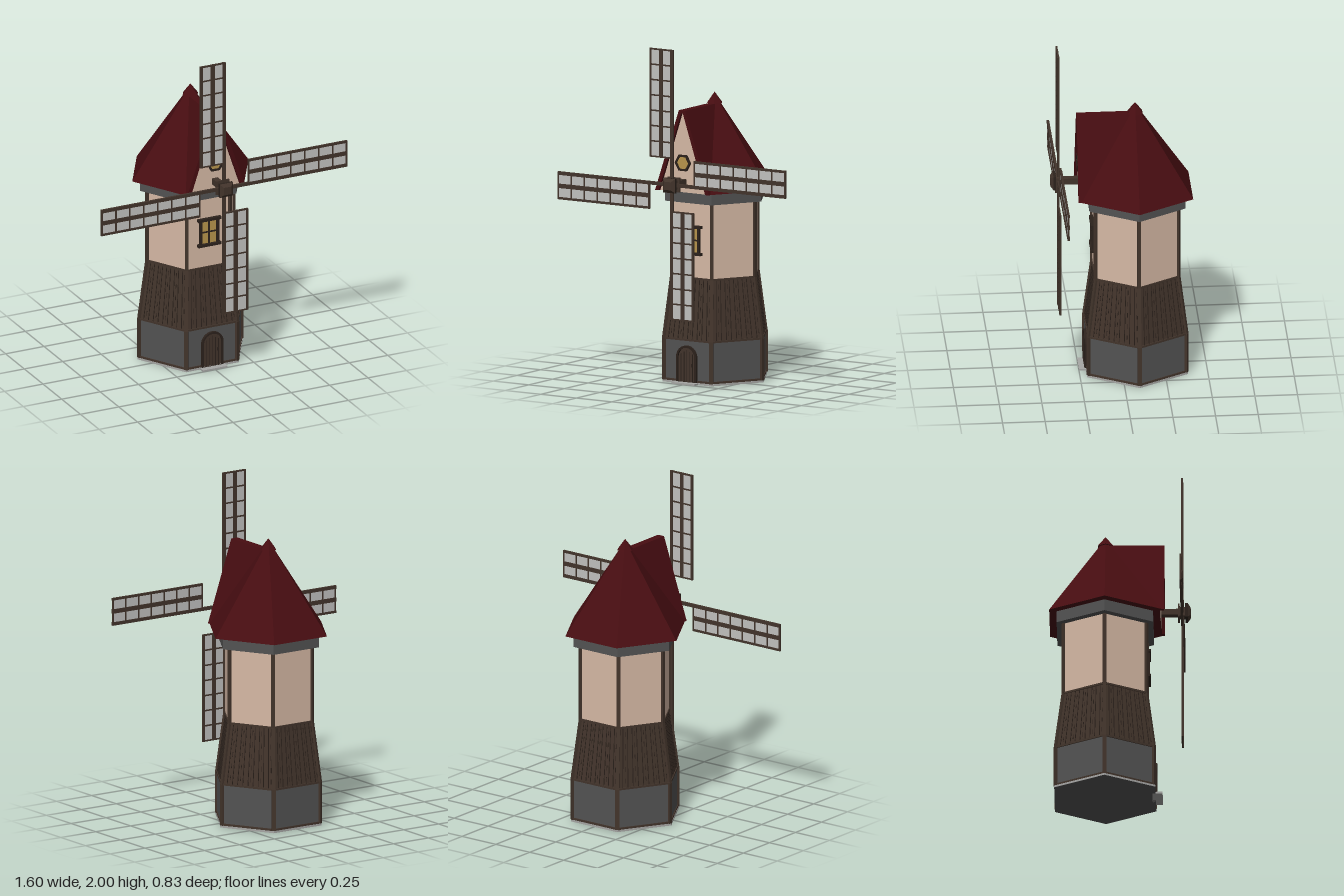
import * as THREE from 'three';

const mat = (name, color) => Object.assign(new THREE.MeshStandardMaterial({ color, flatShading: true }), { name });
const V = (x, y, z) => new THREE.Vector3(x, y, z);
const APO = Math.cos(Math.PI / 6); // hexagon apothem / radius

export function createModel() {
  const M = {
    stone: mat('grey stone', 0x535353),
    pale: mat('pale stone', 0xa6a6a4),
    plaster: mat('cream plaster', 0xd6b9a5),
    wood: mat('brown wood', 0x42342b),
    dark: mat('dark wood', 0x2c221c),
    red: mat('dark red roof', 0x470d11),
    cloth: mat('sail cloth', 0xc2c2c0),
    gold: mat('amber glass', 0xb8954c),
  };
  const model = new THREE.Group();
  model.name = 'windmill';

  const add = (parent, name, geo, material, x = 0, y = 0, z = 0) => {
    const m = new THREE.Mesh(geo, material);
    m.name = name;
    m.position.set(x, y, z);
    parent.add(m);
    return m;
  };
  const group = (parent, name, x = 0, y = 0, z = 0) => {
    const g = new THREE.Group();
    g.name = name;
    g.position.set(x, y, z);
    parent.add(g);
    return g;
  };
  const box = (parent, name, w, h, d, material, x, y, z) =>
    add(parent, name, new THREE.BoxGeometry(w, h, d), material, x, y, z);
  // Square bar running from point a to point b
  const beam = (parent, name, a, b, w, d, material) => {
    const dir = b.clone().sub(a);
    const mid = a.clone().add(b).multiplyScalar(0.5);
    const m = box(parent, name, w, dir.length(), d, material, mid.x, mid.y, mid.z);
    m.quaternion.setFromUnitVectors(V(0, 1, 0), dir.normalize());
    return m;
  };
  // Hexagonal frustum with a flat side toward +z
  const hex = (parent, name, r0, r1, y0, y1, material) =>
    add(parent, name, new THREE.CylinderGeometry(r1, r0, y1 - y0, 6, 1, false, Math.PI / 6), material, 0, (y0 + y1) / 2, 0);
  const extrude = (shape, depth) =>
    new THREE.ExtrudeGeometry(shape, { depth, bevelEnabled: false, curveSegments: 10 });
  const poly = (pts) => new THREE.Shape(pts.map(([x, y]) => new THREE.Vector2(x, y)));

  // ---- Tower body ----
  const tower = group(model, 'tower', 0, 0, -0.087);
  hex(tower, 'foundationPlate', 0.342, 0.342, 0, 0.012, [M.pale, M.pale, M.stone]);
  hex(tower, 'stoneBase', 0.333, 0.333, 0.012, 0.26, M.stone);
  hex(tower, 'boardedSkirt', 0.333, 0.281, 0.26, 0.62, M.wood);
  hex(tower, 'plasterWalls', 0.281, 0.281, 0.62, 1.08, M.plaster);
  hex(tower, 'stoneCollar', 0.326, 0.326, 1.07, 1.14, M.stone);

  // Framing repeated on all six sides
  const R = 0.333, r = 0.281;
  for (let k = 0; k < 6; k++) {
    const side = group(tower, 'wallSide');
    side.rotation.y = (k * Math.PI) / 3;
    const corner = group(tower, 'cornerPost');
    corner.rotation.y = ((k + 0.5) * Math.PI) / 3;
    beam(corner, 'lowerPost', V(0, 0.012, R), V(0, 0.26, R), 0.024, 0.014, M.wood);
    beam(corner, 'skirtPost', V(0, 0.26, R), V(0, 0.62, r), 0.02, 0.014, M.wood);
    beam(corner, 'upperPost', V(0, 0.62, r), V(0, 1.07, r), 0.022, 0.014, M.wood);
    for (const [y, rad] of [[0.018, R], [0.26, R], [0.62, r]])
      box(side, 'rail', rad, 0.012, 0.012, M.wood, 0, y, rad * APO);
    // Gaps between the skirt boards, with short offset nail strips
    const n = 10;
    for (let i = 1; i < n; i++) {
      const t = i / n - 0.5;
      beam(side, 'boardGap', V(t * R, 0.265, R * APO), V(t * r, 0.615, r * APO), 0.004, 0.005, M.dark);
      if (i % 2) for (let j = 0; j < 5; j++) {
        const at = (u) => V((t + 0.05) * (R + (r - R) * u), 0.26 + 0.36 * u, (R + (r - R) * u) * APO);
        const u = 0.08 + j * 0.19;
        beam(side, 'nailStrip', at(u), at(u + 0.08), 0.003, 0.004, M.dark);
      }
    }
  }

  // ---- Arched door and step ----
  const arch = (w, h) => {
    const s = new THREE.Shape();
    s.moveTo(-w, 0);
    s.lineTo(w, 0);
    s.lineTo(w, h - w);
    s.absarc(0, h - w, w, 0, Math.PI, false);
    s.closePath();
    return s;
  };
  const door = group(model, 'door', 0, 0.012, R * APO - 0.087);
  const frame = arch(0.07, 0.215);
  frame.holes.push(arch(0.058, 0.203));
  add(door, 'doorFrame', extrude(frame, 0.016), M.dark);
  add(door, 'doorLeaf', extrude(arch(0.06, 0.205), 0.006), M.wood);
  for (let i = -2; i <= 2; i++)
    box(door, 'doorGap', 0.004, 0.19 - Math.abs(i) * 0.012, 0.003, M.dark, i * 0.02, 0.095 - Math.abs(i) * 0.006, 0.007);
  box(door, 'doorHandle', 0.007, 0.02, 0.006, M.dark, 0.035, 0.1, 0.009);
  box(model, 'doorStep', 0.16, 0.01, 0.06, M.pale, 0, 0.005, 0.22);

  // ---- Front window ----
  const win = group(model, 'frontWindow', 0, 0.847, r * APO - 0.087);
  box(win, 'windowGlass', 0.11, 0.155, 0.006, M.gold, 0, 0, 0.003);
  for (const s of [-1, 1]) {
    box(win, 'windowJamb', 0.014, 0.16, 0.018, M.dark, s * 0.055, 0, 0.009);
    box(win, 'windowSill', 0.15, 0.016, 0.024, M.dark, 0, s * 0.08, 0.012);
  }
  box(win, 'mullion', 0.008, 0.15, 0.012, M.dark, 0, 0, 0.006);
  box(win, 'crossBar', 0.11, 0.008, 0.012, M.dark, 0, 0, 0.006);

  // ---- Roof with front gable ----
  const roof = group(model, 'roof', 0, 0, -0.085);
  hex(roof, 'mainRoof', 0.378, 0.012, 1.14, 1.665, M.red);
  hex(roof, 'roofCap', 0.05, 0.001, 1.628, 1.692, M.red);
  const gableShape = poly([[-0.189, 1.14], [0.189, 1.14], [0.022, 1.627], [-0.022, 1.627]]);
  add(roof, 'gableRoof', extrude(gableShape, 0.32), M.red);
  const rim = poly([[-0.189, 1.14], [-0.163, 1.14], [-0.006, 1.61], [0.006, 1.61], [0.163, 1.14],
    [0.189, 1.14], [0.022, 1.627], [-0.022, 1.627]]);
  add(roof, 'gableRim', extrude(rim, 0.025), M.red, 0, 0, 0.32);
  const face = poly([[-0.164, 1.14], [0.164, 1.14], [0.007, 1.61], [-0.007, 1.61]]);
  add(roof, 'gableWall', extrude(face, 0.008), M.plaster, 0, 0, 0.32);

  const gableWindow = group(roof, 'gableWindow', 0, 1.315, 0.328);
  const ring = (rad) => Array.from({ length: 6 }, (_, i) =>
    [rad * Math.cos((i * Math.PI) / 3), rad * Math.sin((i * Math.PI) / 3)]);
  const hexFrame = poly(ring(0.054));
  hexFrame.holes.push(poly(ring(0.041)));
  add(gableWindow, 'gableWindowFrame', extrude(hexFrame, 0.014), M.dark);
  add(gableWindow, 'gableWindowGlass', extrude(poly(ring(0.043)), 0.006), M.gold);

  // ---- Axle, hub and sails ----
  const rotor = group(model, 'rotor', 0, 1.2, 0.365);
  box(rotor, 'axle', 0.038, 0.038, 0.2, M.wood, 0, 0, -0.075);
  box(rotor, 'hubBack', 0.086, 0.086, 0.01, M.wood, 0, 0, -0.021);
  box(rotor, 'hubCore', 0.055, 0.055, 0.04, M.wood, 0, 0, 0);
  box(rotor, 'hubFront', 0.086, 0.086, 0.015, M.dark, 0, 0, 0.024);
  const nose = add(rotor, 'hubNose', new THREE.CylinderGeometry(0.034, 0.06, 0.017, 4, 1, false, Math.PI / 4), M.wood, 0, 0, 0.04);
  nose.rotation.x = Math.PI / 2;

  for (let k = 0; k < 4; k++) {
    const sail = group(rotor, 'sail');
    sail.rotation.z = (k * Math.PI) / 2;
    box(sail, 'sailArm', 0.02, 0.8, 0.014, M.wood, 0, 0.4, 0);
    box(sail, 'sailMiddleBar', 0.026, 0.645, 0.012, M.wood, -0.075, 0.4775, 0);
    box(sail, 'sailOuterBar', 0.014, 0.645, 0.012, M.wood, -0.148, 0.4775, 0);
    box(sail, 'sailCloth', 0.145, 0.64, 0.005, M.cloth, -0.077, 0.4775, 0);
    for (let i = 0; i <= 7; i++)
      box(sail, 'sailRung', 0.15, 0.009, 0.01, M.wood, -0.076, 0.1595 + (i * 0.636) / 7, 0);
  }
  return model;
}
